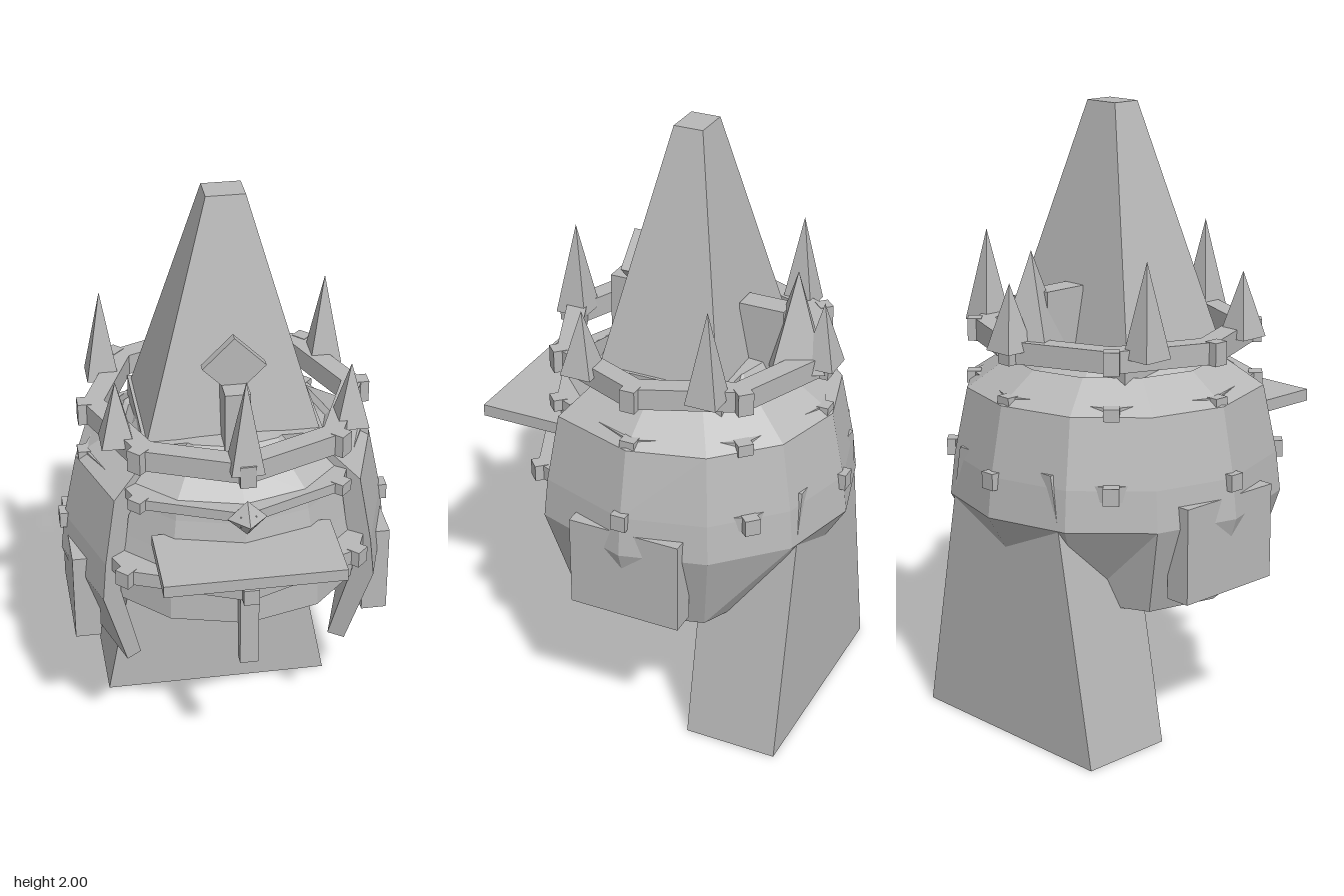
import * as THREE from 'three';

const steel = new THREE.MeshStandardMaterial({ color: 0xb8b8b8, side: THREE.DoubleSide });
steel.name = 'steel grey';
const CZ = -0.035; // helmet axis in z

export function createModel() {
  const model = new THREE.Group();
  model.name = 'crownedHelmet';

  function add(name, geo, x = 0, y = 0, z = 0, ry = 0, parent = model) {
    const g = geo.index ? geo.toNonIndexed() : geo;
    g.computeVertexNormals();
    const m = new THREE.Mesh(g, steel);
    m.name = name;
    m.position.set(x, y, z);
    m.rotation.y = ry;
    parent.add(m);
    return m;
  }

  // box given by its limits
  function block(name, x0, x1, y0, y1, z0, z1) {
    return add(name, new THREE.BoxGeometry(x1 - x0, y1 - y0, z1 - z0),
      (x0 + x1) / 2, (y0 + y1) / 2, (z0 + z1) / 2);
  }

  // four-sided frustum between two rectangles [x0, x1, z0, z1]
  function frustum(name, y0, a, y1, b) {
    const geo = new THREE.BoxGeometry(1, 1, 1);
    const p = geo.attributes.position;
    for (let i = 0; i < p.count; i++) {
      const up = p.getY(i) > 0, r = up ? b : a;
      p.setXYZ(i, p.getX(i) < 0 ? r[0] : r[1], up ? y1 : y0, p.getZ(i) < 0 ? r[2] : r[3]);
    }
    return add(name, geo);
  }

  function spike(name, x, z, half, y0, y1, turn = 0) {
    const geo = new THREE.ConeGeometry(half * Math.SQRT2, y1 - y0, 4, 1);
    geo.rotateY(Math.PI / 4);
    return add(name, geo, x, (y0 + y1) / 2, z, turn);
  }

  // eight-sided band with a small stud on each corner
  function band(name, outer, inner, y0, y1) {
    const group = new THREE.Group();
    group.name = name;
    model.add(group);
    const ring = r => Array.from({ length: 8 }, (_, i) =>
      new THREE.Vector2(r * Math.sin(i * Math.PI / 4), r * Math.cos(i * Math.PI / 4)));
    const shape = new THREE.Shape(ring(outer));
    shape.holes.push(new THREE.Path(ring(inner)));
    const geo = new THREE.ExtrudeGeometry(shape, { depth: y1 - y0, bevelEnabled: false });
    geo.rotateX(-Math.PI / 2);
    add(name + 'Ring', geo, 0, y0, CZ, 0, group);
    for (let i = 0; i < 8; i++) {
      const a = i * Math.PI / 4, r = outer - 0.005;
      add(name + 'Stud', new THREE.BoxGeometry(0.05, y1 - y0 + 0.004, 0.045),
        r * Math.sin(a), (y0 + y1) / 2, CZ + r * Math.cos(a), a, group);
    }
  }

  // inner dome and brow
  const dome = [[0.475, 0.72], [0.47, 0.85], [0.445, 0.95], [0.42, 1.06], [0.41, 1.12], [0.3, 1.2], [0.27, 1.25], [0, 1.27]];
  add('dome', new THREE.LatheGeometry(dome.map(p => new THREE.Vector2(...p)), 12), 0, 0, CZ);

  // thick outer shell, open at the face, with the hem drawn in at the nape
  function shellGeometry() {
    const angles = [-36];
    for (let a = 0; a <= 180; a += 30) angles.push(a);
    angles.push(216);
    const sections = angles.map(deg => {
      const a = deg * Math.PI / 180, nape = deg >= 60 && deg <= 120;
      const hem = nape ? 0.37 : 0.45;
      const loop = [[hem, 0.46], [0.545, 0.75], [0.53, 0.88], [0.485, 1.1], [0.35, 1.19],
        [0.32, 1.16], [0.42, 1.06], [0.47, 0.75], [hem - 0.06, 0.46]];
      return loop.map(([r, y]) => [r * Math.cos(a), y, -r * Math.sin(a)]);
    });
    const pos = [], n = sections[0].length;
    for (let i = 0; i < sections.length - 1; i++) {
      const s = sections[i], t = sections[i + 1];
      for (let j = 0; j < n; j++) {
        const k = (j + 1) % n;
        pos.push(...s[j], ...t[j], ...t[k], ...s[j], ...t[k], ...s[k]);
      }
    }
    // cheek rims: quads between the outer and inner edge of each end
    [sections[0], sections[sections.length - 1]].forEach((s, e) => {
      for (let j = 0; j < 4; j++) {
        const q = [s[j], s[j + 1], s[n - 2 - j], s[n - 1 - j]];
        if (e === 0) q.reverse();
        pos.push(...q[0], ...q[2], ...q[1], ...q[0], ...q[3], ...q[2]);
      }
    });
    const geo = new THREE.BufferGeometry();
    geo.setAttribute('position', new THREE.Float32BufferAttribute(pos, 3));
    return geo;
  }
  add('outerShell', shellGeometry(), 0, 0, CZ);

  // bands
  band('browBand', 0.53, 0.44, 0.845, 0.895);
  band('templeBand', 0.46, 0.38, 1.09, 1.125);
  band('crown', 0.455, 0.385, 1.23, 1.3);

  // crown spikes
  spike('frontCrownSpike', 0, 0.385, 0.052, 1.27, 1.57);
  spike('backCrownSpike', 0, -0.48, 0.052, 1.27, 1.48);
  for (const s of [-1, 1]) {
    spike('frontSideCrownSpike', s * 0.37, 0.17, 0.052, 1.27, 1.48);
    spike('backSideCrownSpike', s * 0.37, -0.255, 0.052, 1.27, 1.57);
  }
  spike('largeBackSpike', 0, -0.39, 0.085, 1.25, 1.57, 0.45);

  // tall spire on its base plate
  block('spireBase', -0.285, 0.285, 1.17, 1.25, -0.265, 0.185);
  frustum('spire', 1.23, [-0.28, 0.28, -0.25, 0.165], 2, [-0.062, 0.062, -0.092, 0.005]);

  // posts before and behind the spire, and the diamond plate
  block('frontPost', -0.04, 0.04, 1.2, 1.44, 0.13, 0.24);
  block('backPost', -0.04, 0.04, 1.2, 1.44, -0.36, -0.21);
  const plate = add('diamondPlate', new THREE.BoxGeometry(0.142, 0.142, 0.03), 0, 1.5, 0.158);
  plate.rotation.z = Math.PI / 4;

  // visor peak, nose guard and gem
  block('visorPeak', -0.285, 0.285, 0.96, 1, 0.31, 0.59);
  block('noseGuard', -0.03, 0.03, 0.59, 0.845, 0.43, 0.475);
  add('gem', new THREE.OctahedronGeometry(0.062), 0, 1.108, 0.42);

  // ear plates
  for (const s of [-1, 1]) {
    block(s > 0 ? 'leftEarPlate' : 'rightEarPlate',
      s > 0 ? 0.44 : -0.525, s > 0 ? 0.525 : -0.44, 0.51, 0.82, -0.23, 0.148);
  }

  // neck guard hanging to the ground
  frustum('neckGuard', 0, [-0.39, 0.39, -0.512, -0.2], 0.92, [-0.215, 0.215, -0.512, -0.2]);

  return model;
}
